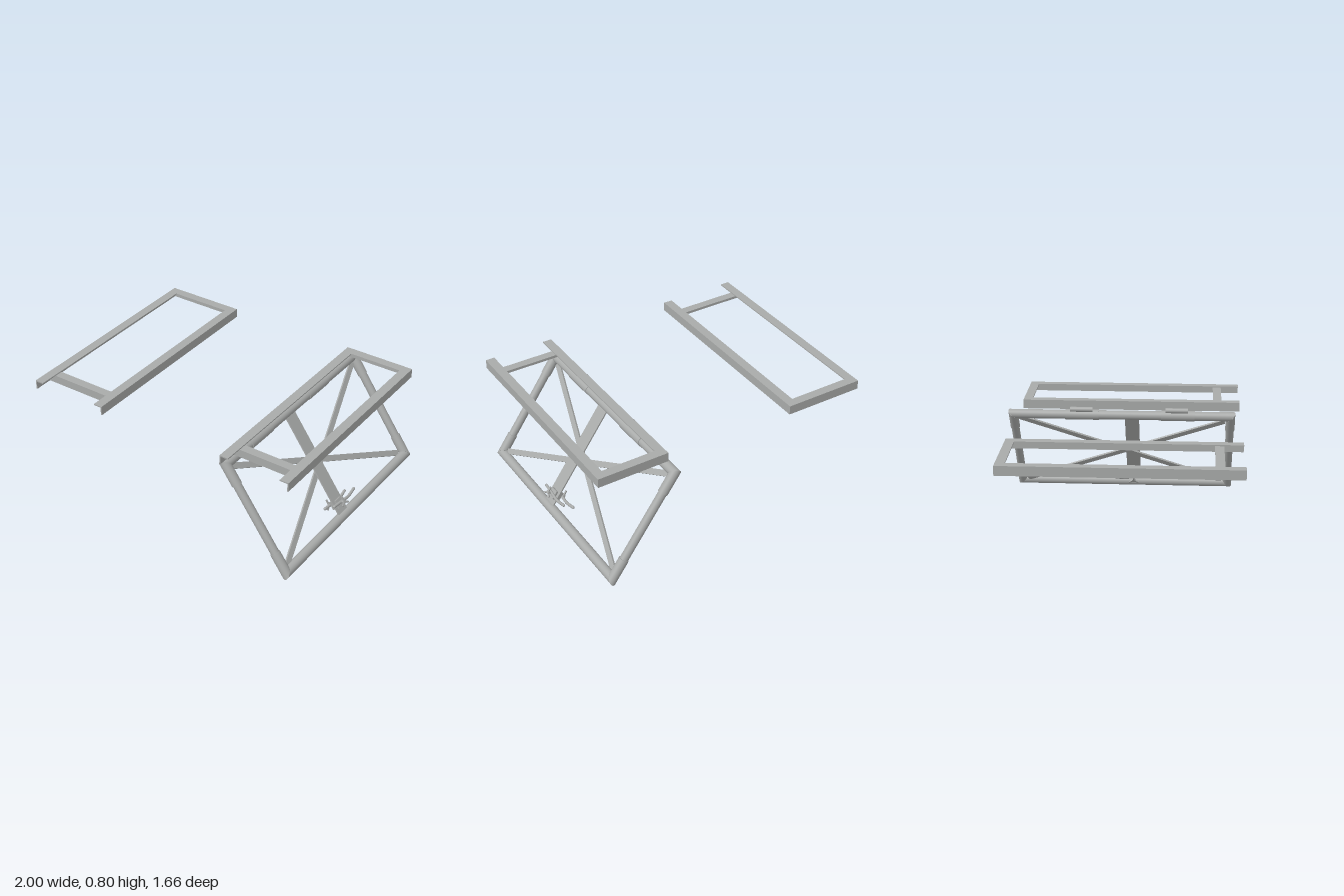
import * as THREE from 'three';

const steel = new THREE.MeshStandardMaterial({ color: 0xa8aaa9 });
steel.name = 'steelGrey';

function add(parent, name, geometry, x = 0, y = 0, z = 0) {
  const mesh = new THREE.Mesh(geometry, steel);
  mesh.name = name;
  mesh.position.set(x, y, z);
  parent.add(mesh);
  return mesh;
}

// box given by its limits
function slab(parent, name, x0, x1, y0, y1, z0, z1) {
  return add(parent, name, new THREE.BoxGeometry(x1 - x0, y1 - y0, z1 - z0),
    (x0 + x1) / 2, (y0 + y1) / 2, (z0 + z1) / 2);
}

// tube along y; an end with mitre 1 is cut at 45 degrees, longest on its +x side
function tube(r, length, mitreTop = 0, mitreBottom = 0) {
  const g = new THREE.CylinderGeometry(r, r, length, 28);
  const p = g.attributes.position;
  for (let i = 0; i < p.count; i++) {
    const top = p.getY(i) > 0;
    p.setY(i, p.getY(i) + (top ? mitreTop : -mitreBottom) * p.getX(i));
  }
  return g;
}

// angle-iron frame with open front ends and a lowered front crossbar
function angleFrame(name, x0, x1) {
  const f = new THREE.Group();
  f.name = name;
  const w = 0.063, t = 0.008, top = 0.8, low = 0.736, back = -0.725, front = 0.828;
  slab(f, 'sideRailTop', x0, x0 + w, top - t, top, back, front);
  slab(f, 'sideRailTop', x1 - w, x1, top - t, top, back, front);
  slab(f, 'sideRailWeb', x0, x0 + t, low, top - t, back, front);
  slab(f, 'sideRailWeb', x1 - t, x1, low, top - t, back, front);
  slab(f, 'backRailTop', x0 + w, x1 - w, top - t, top, back, back + w);
  slab(f, 'backRailWeb', x0 + t, x1 - t, low, top - t, back, back + t);
  slab(f, 'crossbarTop', x0 + t, x1 - t, top - 2 * t, top - t, 0.64, 0.7);
  slab(f, 'crossbarWeb', x0 + t, x1 - t, low, top - 2 * t, 0.7 - t, 0.7);
  return f;
}

// sloping tubular frame: local y runs up the slope, local x is its outward normal
function slopingFrame() {
  const f = new THREE.Group();
  f.name = 'slopingFrame';
  f.position.set(0.5, 0.695, -0.0175);
  f.rotation.z = 0.615;
  const L = 0.806, half = 0.783, r = 0.034, fit = 0.15;

  // long tubes, mitred at the corners
  for (const [name, y, s] of [['topTube', 0, 1], ['bottomTube', -L, -1]]) {
    const g = tube(r - 0.001, 2 * half, 1, 1);
    g.rotateZ(s * Math.PI / 2);      // outer side to local +y or -y
    g.rotateX(0);
    // after the turn the axis lies on x, so swing it onto z
    g.rotateY(Math.PI / 2);
    add(f, name, g, 0, y, 0);
  }
  // the outer corner side of each upright points away from the centre
  for (const s of [1, -1]) {
    const turn = s > 0 ? -Math.PI / 2 : Math.PI / 2;
    add(f, 'sideTube', tube(0.029, L - 2 * fit + 0.02), 0, -L / 2, s * half);
    add(f, 'topElbow', tube(r, fit, 1, 0).rotateY(turn), 0, -fit / 2, s * half);
    add(f, 'bottomElbow', tube(r, fit, 0, 1).rotateY(turn), 0, -L + fit / 2, s * half);
  }
  // hinge sleeves on the top tube
  for (const z of [0.407, -0.283]) {
    add(f, 'hingeSleeve', tube(0.037, 0.24).rotateX(Math.PI / 2), 0, 0, z);
  }
  // crossed braces
  const run = 2 * half - 0.09, rise = L - 0.07;
  for (const s of [1, -1]) {
    const brace = add(f, 'diagonalBrace',
      new THREE.BoxGeometry(0.014, 0.04, Math.hypot(run, rise)), s * 0.007 - 0.009, -L / 2, 0);
    brace.rotation.x = s * Math.atan2(rise, run);
  }
  // central plate
  slab(f, 'centrePlate', 0.006, 0.016, -L + 0.02, -0.015, 0.023, 0.125);

  // clamp with a handle and a wing nut on either side
  const clamp = new THREE.Group();
  clamp.name = 'clamp';
  clamp.position.set(0, -0.711, 0.075);
  f.add(clamp);
  add(clamp, 'clampBlock', new THREE.BoxGeometry(0.06, 0.06, 0.06));
  add(clamp, 'clampBolt', new THREE.CylinderGeometry(0.007, 0.007, 0.15, 12).rotateZ(Math.PI / 2));
  for (const s of [1, -1]) {
    const path = new THREE.CatmullRomCurve3([
      [-0.17, 0.008], [-0.09, -0.004], [0, 0.004], [0.08, 0.012],
    ].map(([z, y]) => new THREE.Vector3(s * 0.042, y, z)));
    add(clamp, 'clampHandle', new THREE.TubeGeometry(path, 16, 0.01, 10));
    for (const p of [path.points[0], path.points[3]]) {
      add(clamp, 'handleTip', new THREE.SphereGeometry(0.01, 10, 8), p.x, p.y, p.z);
    }
    add(clamp, 'wingNutHub', new THREE.CylinderGeometry(0.013, 0.013, 0.014, 16)
      .rotateZ(Math.PI / 2), s * 0.068, 0, 0);
    for (let i = 0; i < 3; i++) {
      const arm = new THREE.BoxGeometry(0.008, 0.04, 0.012).translate(0, 0.02, 0);
      add(clamp, 'wingNutArm', arm, s * 0.07, 0, 0).rotation.x = i * Math.PI * 2 / 3;
    }
  }
  return f;
}

export function createModel() {
  const model = new THREE.Group();
  model.name = 'foldingFrameSet';
  model.add(angleFrame('rightAngleFrame', -1, -0.437));
  model.add(angleFrame('leftAngleFrame', 0.497, 1));
  model.add(slopingFrame());

  // hinge barrels joining the sloping frame to its angle frame
  for (const z of [0.38, -0.305]) {
    add(model, 'hingeBarrel', tube(0.018, 0.16).rotateX(Math.PI / 2), 0.477, 0.74, z);
  }
  return model;
}
